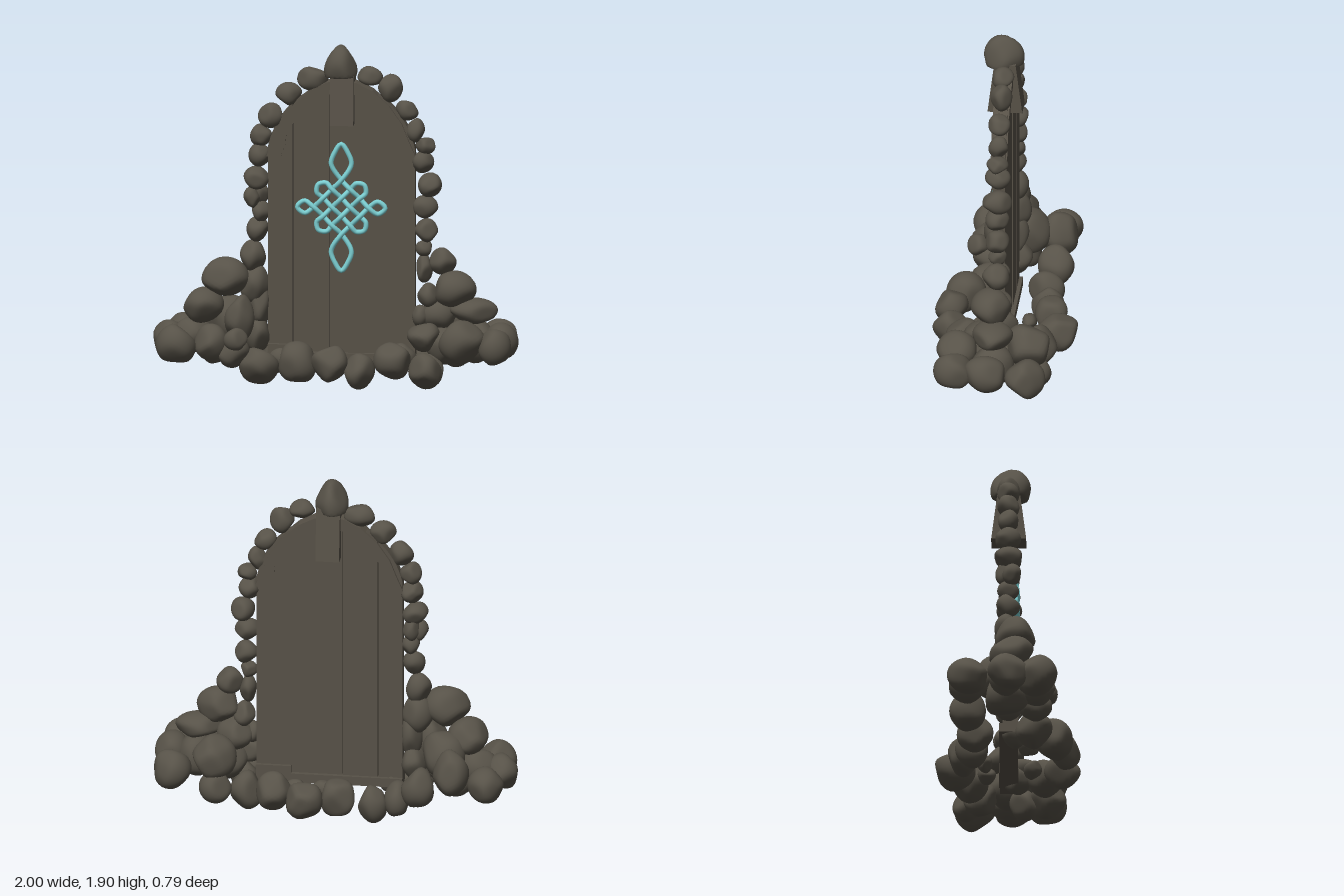
import * as THREE from 'three';
import { mergeVertices } from 'three/addons/utils/BufferGeometryUtils.js';

const CX = 0.03; // centre line of the door

let seed = 7;
const rand = () => {
  seed = (seed * 16807) % 2147483647;
  return seed / 2147483647;
};

// Smooth boulder: a ball softly cut by random planes, fitted to the given half sizes
function boulderGeometry(rx, ry, rz) {
  let geo = new THREE.IcosahedronGeometry(1, 5);
  geo.deleteAttribute('uv');
  geo.deleteAttribute('normal');
  geo = mergeVertices(geo, 1e-4);
  const planes = [];
  for (let i = 0; i < 10; i++) {
    const n = new THREE.Vector3(rand() - 0.5, rand() - 0.5, rand() - 0.5).normalize();
    planes.push({ n, d: 0.74 + 0.2 * rand() });
  }
  const p = geo.attributes.position;
  const v = new THREE.Vector3();
  for (let i = 0; i < p.count; i++) {
    v.fromBufferAttribute(p, i).normalize();
    let sum = 1;
    for (const { n, d } of planes) sum += Math.pow(Math.max(0, v.dot(n)) / d, 14);
    v.multiplyScalar(Math.pow(sum, -1 / 14));
    p.setXYZ(i, v.x, v.y, v.z);
  }
  geo.center();
  geo.computeBoundingBox();
  const b = geo.boundingBox.max;
  geo.scale(rx / b.x, ry / b.y, rz / b.z);
  geo.computeVertexNormals();
  return geo;
}

// Flat outline in x and y, extruded from z0 to z1
function slab(points, z0, z1) {
  const shape = new THREE.Shape(points.map(([x, y]) => new THREE.Vector2(x, y)));
  const geo = new THREE.ExtrudeGeometry(shape, { depth: z1 - z0, bevelEnabled: false });
  return geo.translate(0, 0, z0);
}

// Stones as [x, y, z, half width, half height, half depth]
const archLeft = [
  [-0.13, 1.715, 0, 0.085, 0.065, 0.06], [-0.26, 1.63, 0, 0.072, 0.065, 0.06],
  [-0.36, 1.51, 0, 0.068, 0.07, 0.06], [-0.41, 1.4, 0, 0.06, 0.063, 0.055],
  [-0.42, 1.29, 0, 0.06, 0.065, 0.07], [-0.435, 1.165, 0, 0.07, 0.063, 0.075],
  [-0.46, 1.06, 0.02, 0.045, 0.06, 0.05], [-0.415, 1.08, -0.02, 0.045, 0.07, 0.05],
  [-0.41, 0.98, 0, 0.05, 0.06, 0.06], [-0.43, 0.88, 0, 0.06, 0.07, 0.065],
  [-0.455, 0.73, 0, 0.07, 0.09, 0.075],
];
const archRight = [
  [0.185, 1.74, 0, 0.07, 0.052, 0.06], [0.295, 1.67, 0, 0.067, 0.077, 0.06],
  [0.385, 1.55, 0, 0.062, 0.057, 0.06], [0.43, 1.44, 0, 0.052, 0.067, 0.055],
  [0.485, 1.355, 0, 0.055, 0.045, 0.06], [0.475, 1.265, 0, 0.057, 0.06, 0.07],
  [0.51, 1.14, 0, 0.065, 0.067, 0.08], [0.485, 1.02, 0, 0.07, 0.063, 0.065],
  [0.49, 0.89, 0, 0.065, 0.065, 0.065], [0.475, 0.79, 0, 0.045, 0.045, 0.05],
  [0.48, 0.68, 0, 0.045, 0.08, 0.07],
];
const pileLeft = [
  [-0.6, 0.62, 0.04, 0.13, 0.11, 0.11], [-0.45, 0.58, 0, 0.085, 0.11, 0.09],
  [-0.72, 0.46, 0.02, 0.11, 0.1, 0.12], [-0.52, 0.4, 0.08, 0.08, 0.13, 0.1],
  [-0.42, 0.46, 0, 0.055, 0.12, 0.08], [-0.43, 0.3, 0, 0.07, 0.1, 0.1],
  [-0.6, 0.38, -0.06, 0.12, 0.12, 0.12], [-0.65, 0.24, 0, 0.12, 0.11, 0.12],
  [-0.78, 0.29, 0, 0.11, 0.1, 0.1], [-0.91, 0.27, 0, 0.09, 0.1, 0.11],
  [-0.53, 0.31, 0.21, 0.065, 0.06, 0.06],
];
const pileRight = [
  [0.58, 0.72, 0, 0.075, 0.075, 0.075], [0.65, 0.57, 0.02, 0.115, 0.1, 0.11],
  [0.5, 0.53, 0, 0.06, 0.07, 0.08], [0.75, 0.45, 0, 0.13, 0.07, 0.11],
  [0.55, 0.42, -0.02, 0.1, 0.09, 0.1], [0.48, 0.31, 0.08, 0.09, 0.08, 0.1],
  [0.6, 0.26, 0, 0.12, 0.11, 0.12], [0.76, 0.28, 0, 0.12, 0.12, 0.12],
  [0.9, 0.29, 0.03, 0.095, 0.1, 0.11], [0.46, 0.42, 0.02, 0.045, 0.06, 0.06],
  [0.51, 0.13, 0.08, 0.08, 0.09, 0.08],
];
const frontRow = [
  [-0.86, 0.27, 0.16, 0.11, 0.11, 0.11], [-0.67, 0.28, 0.16, 0.09, 0.1, 0.1],
  [-0.55, 0.23, 0.15, 0.09, 0.09, 0.09], [-0.41, 0.15, 0.14, 0.11, 0.1, 0.1],
  [-0.19, 0.2, 0.24, 0.1, 0.11, 0.11], [-0.01, 0.2, 0.3, 0.1, 0.1, 0.09],
  [0.15, 0.16, 0.29, 0.085, 0.1, 0.1], [0.32, 0.2, 0.2, 0.1, 0.1, 0.1],
  [0.5, 0.15, 0.21, 0.09, 0.1, 0.1], [0.7, 0.31, 0.2, 0.125, 0.12, 0.11],
  [0.88, 0.29, 0.2, 0.09, 0.1, 0.11],
];
const backRow = [
  [-0.85, 0.27, -0.22, 0.1, 0.1, 0.11], [-0.66, 0.33, -0.21, 0.1, 0.13, 0.11],
  [-0.48, 0.24, -0.22, 0.09, 0.11, 0.1], [-0.36, 0.15, -0.18, 0.07, 0.1, 0.1],
  [-0.23, 0.12, -0.2, 0.08, 0.11, 0.09], [-0.05, 0.16, -0.24, 0.09, 0.1, 0.09],
  [0.13, 0.15, -0.29, 0.1, 0.1, 0.11], [0.31, 0.17, -0.21, 0.1, 0.11, 0.1],
  [0.47, 0.15, -0.16, 0.09, 0.11, 0.09], [0.64, 0.34, -0.18, 0.12, 0.12, 0.12],
  [0.87, 0.26, -0.19, 0.105, 0.11, 0.11], [0.63, 0.18, -0.22, 0.09, 0.09, 0.09],
];
const thresholdStones = [
  [-0.2, 0.16, 0.11, 0.055, 0.06, 0.06], [0.14, 0.16, 0.13, 0.08, 0.05, 0.05],
  [0.05, 0.16, -0.13, 0.06, 0.05, 0.04], [0.2, 0.16, -0.12, 0.06, 0.05, 0.05],
  [0.36, 0.2, 0.04, 0.08, 0.07, 0.08], [-0.3, 0.17, 0.03, 0.07, 0.07, 0.07],
];

// Closed strands of the knot, woven over and under on a diagonal 4 x 4 lattice
function knotStrands() {
  const line = [-0.15, -0.05, 0.05, 0.15];
  const at = (i, j, along) => {
    const z = ((i + j) % 2 ? -1 : 1) * along * 0.008;
    return [(line[i] + line[j]) / 2, (line[i] - line[j]) / 2, z];
  };
  const U = [0, 1, 2, 3], D = [3, 2, 1, 0];
  const alongU = (i, order) => order.map((j) => at(i, j, 1));
  const alongV = (j, order) => order.map((i) => at(i, j, -1));
  const ring = [
    [0, 0.35, 0], [0.035, 0.305, 0], [0.055, 0.24, 0], ...alongV(0, D),
    [-0.2, -0.034, 0], [-0.24, 0, 0], [-0.2, 0.034, 0], ...alongU(0, U),
    [0.055, -0.24, 0], [0.035, -0.305, 0], [0, -0.35, 0], [-0.035, -0.305, 0], [-0.055, -0.24, 0],
    ...alongV(3, U), [0.2, 0.034, 0], [0.24, 0, 0], [0.2, -0.034, 0], ...alongU(3, D),
    [-0.055, 0.24, 0], [-0.035, 0.305, 0],
  ];
  const uv = (u, v) => [(u + v) / 2, (u - v) / 2, 0];
  const bend = [[0.215, 0.052], [0.25, 0], [0.215, -0.052]];
  const rising = [
    ...alongV(2, U), ...bend.map(([a, b]) => uv(a, b)),
    ...alongV(1, D), ...bend.map(([a, b]) => uv(-a, -b)),
  ];
  const falling = [
    ...alongU(2, U), ...bend.map(([a, b]) => uv(b, a)),
    ...alongU(1, D), ...bend.map(([a, b]) => uv(-b, -a)),
  ];
  return [ring, rising, falling];
}

export function createModel() {
  const stone = new THREE.MeshStandardMaterial({ color: 0x575248 });
  stone.name = 'stone';
  const wood = new THREE.MeshStandardMaterial({ color: 0x575147 });
  wood.name = 'wood';
  const turquoise = new THREE.MeshStandardMaterial({ color: 0x7ccfd2 });
  turquoise.name = 'turquoise';

  const model = new THREE.Group();
  model.name = 'stoneDoorway';
  const add = (name, geo, mat, parent = model) => {
    const mesh = new THREE.Mesh(geo, mat);
    mesh.name = name;
    parent.add(mesh);
    return mesh;
  };

  // Door planks [left, right, back, front] with narrow gaps, cut along the arch
  const top = (x) => 1.25 + 0.44 * Math.sqrt(Math.max(0, 1 - ((x - CX) / 0.41) ** 2));
  const planks = [
    [-0.37, -0.309, -0.03, 0.026], [-0.308, -0.236, -0.03, 0.03], [-0.233, -0.039, -0.03, 0.016],
    [-0.036, 0.24, -0.025, 0.03], [0.24, 0.43, -0.035, 0.03],
  ];
  for (const [a, b, z0, z1] of planks) {
    const points = [[a, 0.17], [b, 0.17]];
    for (let i = 0; i <= 16; i++) {
      const x = b + ((a - b) * i) / 16;
      points.push([x, top(x)]);
    }
    add('doorPlank', slab(points, z0, z1), wood);
  }

  // Sill with a low step at one end of each face
  add('doorSill', new THREE.BoxGeometry(0.8, 0.05, 0.1).translate(CX, 0.185, 0), wood);
  add('frontStep', new THREE.BoxGeometry(0.13, 0.06, 0.05).translate(-0.305, 0.225, 0.03), wood);
  add('backStep', new THREE.BoxGeometry(0.19, 0.06, 0.05).translate(0.335, 0.225, -0.03), wood);

  // Arched trim, mirrored about the door's centre line
  const outer = [[0.41, 1.29], [0.37, 1.38], [0.33, 1.48], [0.26, 1.58], [0.17, 1.66], [0.08, 1.705]];
  const inner = [[0.33, 1.29], [0.305, 1.36], [0.3, 1.41], [0.22, 1.55], [0.12, 1.63]];
  const side = (pts, s) => pts.map(([x, y]) => [CX + s * x, y]);
  const trim = [
    ...side(outer, 1), [CX, 1.72], ...side(outer, -1).reverse(),
    ...side(inner, -1), [CX, 1.65], ...side(inner, 1).reverse(),
  ];
  add('archTrim', slab(trim, -0.045, 0.045), wood);

  // Keystone wedge, deeper at its foot
  const wedge = new THREE.BoxGeometry(0.13, 0.29, 0.19);
  const wp = wedge.attributes.position;
  for (let i = 0; i < wp.count; i++) if (wp.getY(i) > 0) wp.setZ(i, wp.getZ(i) * 0.62);
  wedge.computeVertexNormals();
  add('keystone', wedge.translate(0.035, 1.62, 0), wood);

  // Domed cap stone with a flat underside
  const cap = boulderGeometry(0.09, 0.13, 0.11);
  const cp = cap.attributes.position;
  for (let i = 0; i < cp.count; i++) cp.setY(i, Math.max(cp.getY(i), -0.035 + 0.15 * Math.min(0, cp.getY(i))));
  cap.computeVertexNormals();
  add('capStone', cap, stone).position.set(0.025, 1.78, 0.01);

  // Boulders
  const heaps = { archLeft, archRight, pileLeft, pileRight, frontRow, backRow, thresholdStones };
  for (const [name, list] of Object.entries(heaps)) {
    const heap = new THREE.Group();
    heap.name = name;
    model.add(heap);
    for (const [x, y, z, rx, ry, rz] of list) {
      add('boulder', boulderGeometry(rx, ry, rz), stone, heap).position.set(x, y, z);
    }
  }

  // Woven knot on the front of the door
  const knot = new THREE.Group();
  knot.name = 'wovenKnot';
  knot.position.set(CX, 1.015, 0.04);
  model.add(knot);
  for (const pts of knotStrands()) {
    const path = new THREE.CatmullRomCurve3(pts.map((p) => new THREE.Vector3(...p)), true);
    add('knotStrand', new THREE.TubeGeometry(path, 200, 0.0135, 8, true), turquoise, knot);
  }
  return model;
}
